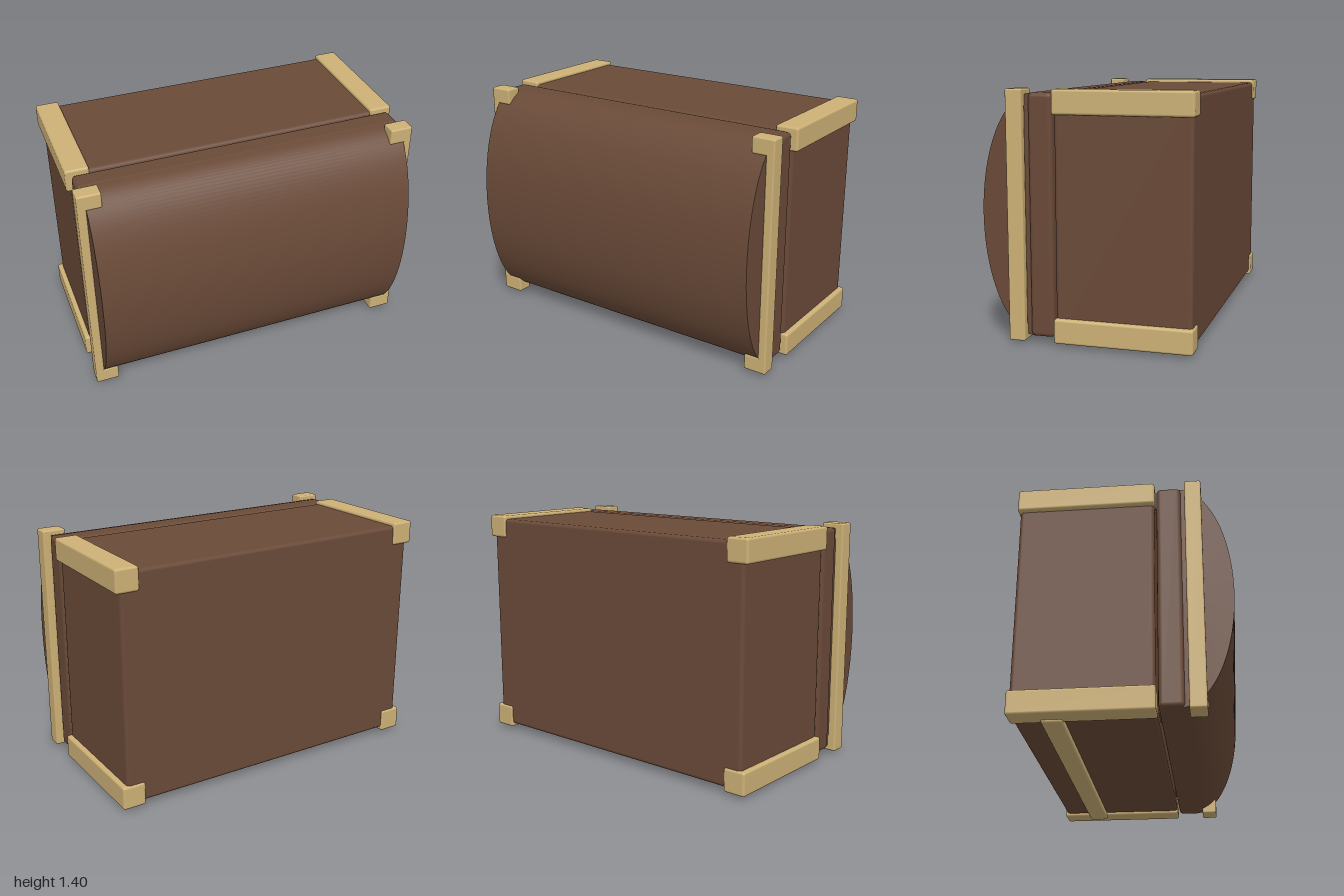
import * as THREE from 'three';
import { RoundedBoxGeometry } from 'three/addons/geometries/RoundedBoxGeometry.js';

export function createModel() {
  const model = new THREE.Group();
  model.name = 'chest';

  const wood = new THREE.MeshStandardMaterial({ color: 0x6a4a38 });
  wood.name = 'brown wood';
  const brass = new THREE.MeshStandardMaterial({ color: 0xcdb176 });
  brass.name = 'pale brass';

  // Rounded block given by its lower and upper limits on each axis
  function block(name, material, [x0, x1], [y0, y1], [z0, z1], radius) {
    const geometry = new RoundedBoxGeometry(x1 - x0, y1 - y0, z1 - z0, 2, radius);
    const mesh = new THREE.Mesh(geometry, material);
    mesh.name = name;
    mesh.position.set((x0 + x1) / 2, (y0 + y1) / 2, (z0 + z1) / 2);
    model.add(mesh);
    return mesh;
  }

  // Main box and the rim band of the lid, with a narrow gap between them
  block('body', wood, [-0.97, 0.97], [0.04, 1.38], [-0.585, 0.176], 0.022);
  block('lidRim', wood, [-0.97, 0.97], [0.042, 1.38], [0.188, 0.325], 0.025);

  // Domed lid: half an elliptic cylinder lying along x
  const dome = new THREE.CylinderGeometry(1, 1, 1.9, 64, 1, false, 0, Math.PI);
  dome.applyMatrix4(new THREE.Matrix4().makeBasis(
    new THREE.Vector3(0, 0, 1), new THREE.Vector3(1, 0, 0), new THREE.Vector3(0, 1, 0)));
  dome.scale(1, 0.668, 0.3);
  const lid = new THREE.Mesh(dome, wood);
  lid.name = 'lidDome';
  lid.position.set(0, 0.71, 0.3);
  model.add(lid);

  // Trim on both ends
  for (const side of [1, -1]) {
    const label = side > 0 ? 'left' : 'right';
    const span = (inner, outer) => (side > 0 ? [inner, outer] : [-outer, -inner]);

    // Edge guards along the box
    block(label + 'UpperBodyTrim', brass, span(0.862, 1), [1.265, 1.4], [-0.595, 0.18], 0.014);
    block(label + 'LowerBodyTrim', brass, span(0.862, 1), [0.02, 0.158], [-0.595, 0.18], 0.014);

    // Upright strap and corner lugs on the lid
    block(label + 'LidStrap', brass, span(0.95, 1), [0.02, 1.4], [0.347, 0.44], 0.01);
    block(label + 'UpperLidCorner', brass, span(0.862, 1), [1.305, 1.4], [0.347, 0.44], 0.01);
    block(label + 'LowerLidCorner', brass, span(0.862, 1), [0.02, 0.115], [0.347, 0.44], 0.01);

    // Small hinge leaf bridging the gap
    block(label + 'Hinge', wood, span(0.6, 0.75), [0.1, 0.215], [0.15, 0.21], 0.005);
  }

  // Runner under the box
  block('bottomRunner', brass, [-0.91, 0.91], [0.003, 0.06], [-0.425, -0.31], 0.014);

  return model;
}
